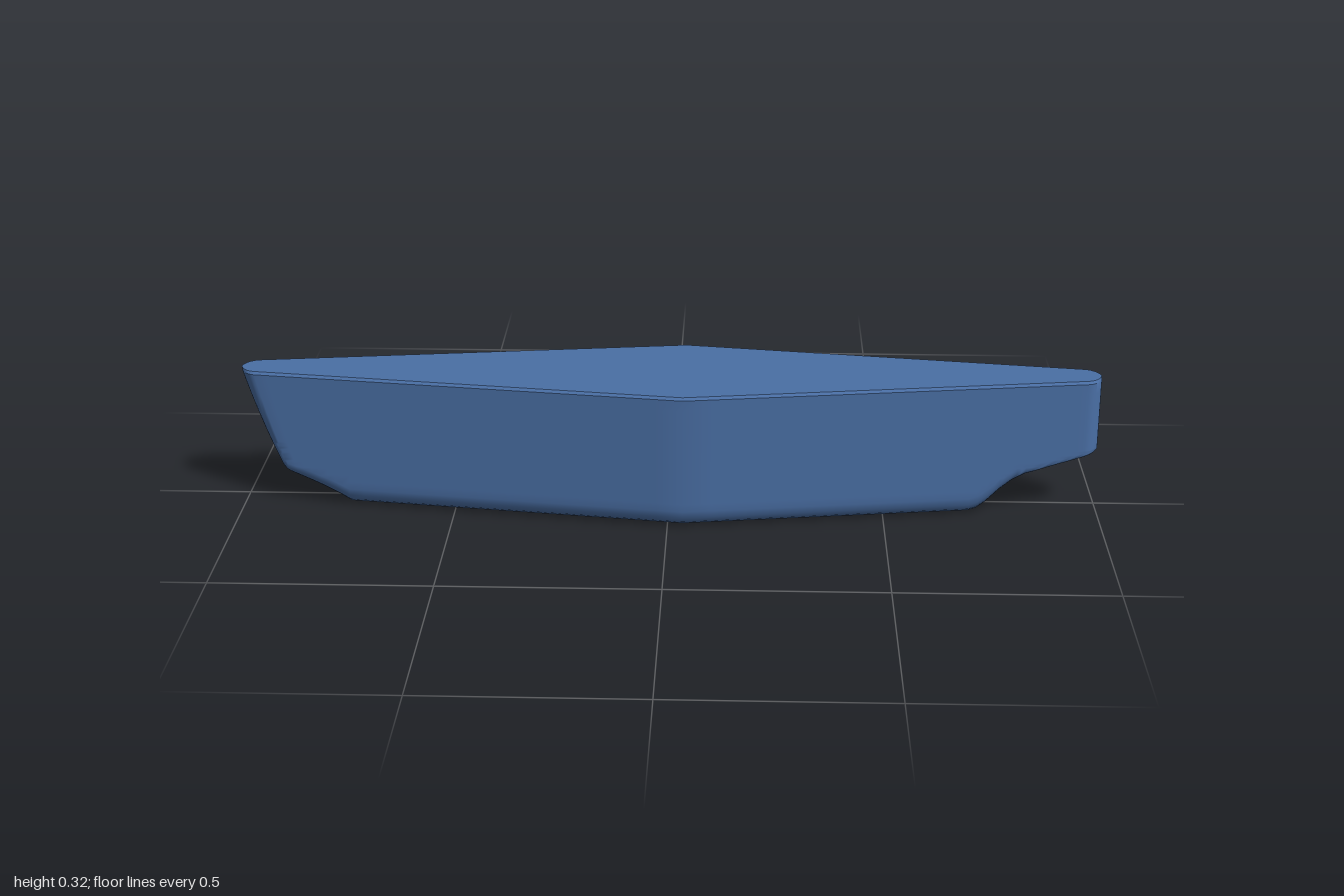
import * as THREE from 'three';
import { toCreasedNormals } from 'three/addons/utils/BufferGeometryUtils.js';

const TOP = 0.322, END = 0.035, MID = 0.035;
const GROOVE = { y: 0.12, r: 0.03, end: -0.48 };

// piecewise linear lookup
function lerpPoints(points, x) {
  if (x <= points[0][0]) return points[0][1];
  for (let i = 1; i < points.length; i++) {
    const [x0, y0] = points[i - 1], [x1, y1] = points[i];
    if (x <= x1) return y0 + (y1 - y0) * (x - x0) / (x1 - x0);
  }
  return points[points.length - 1][1];
}

// keel height along the hull: sloped bow, flat floor, scooped stern
const KEEL = [[-1, 0.075], [-0.75, 0], [0.7, 0], [0.72, 0.006], [0.74, 0.02], [0.77, 0.052],
  [0.8, 0.078], [0.83, 0.095], [0.87, 0.108], [0.92, 0.121], [1, 0.142]];

// diamond plan with rounded tips; s is the station, x the actual position
function halfWidth(s, x) {
  const w = 0.18 - 0.14 * (x > MID ? (x - MID) / (1 - MID) : (MID - x) / (1 + MID));
  const d = Math.min(1 - Math.abs(s), END) / END;
  return w * Math.sqrt(Math.max(0, 1 - (1 - d) ** 2));
}

// raked bow: lower points slide toward the middle
function rakedX(s, y) {
  const k = Math.max(0, (-0.75 - s) / 0.25);
  const u = (TOP - y) / (TOP - 0.075);
  return s + 0.09 * k * u * (0.75 + 0.25 * u);
}

// depth of the round-ended groove in the back face
function grooveDepth(x, y) {
  const dx = Math.max(0, x - GROOVE.end), dy = y - GROOVE.y;
  return Math.sqrt(Math.max(0, GROOVE.r ** 2 - dx * dx - dy * dy));
}

function stations() {
  const list = [];
  const span = (a, b, n) => { for (let i = 0; i < n; i++) list.push(a + (b - a) * i / n); };
  for (let i = 0; i < 8; i++) list.push(-1 + END * (1 - Math.cos(i / 8 * Math.PI / 2)));
  span(-1 + END, -0.75, 8);
  span(-0.75, GROOVE.end, 8);
  span(GROOVE.end, -0.45, 8);
  span(-0.45, MID, 8);
  span(MID, 0.7, 10);
  span(0.7, 0.83, 13);
  span(0.83, 1 - END, 8);
  for (let i = 8; i >= 0; i--) list.push(1 - END * (1 - Math.cos(i / 8 * Math.PI / 2)));
  return list;
}

// heights on the side walls, dense across the groove
function sideLevels() {
  const list = [0.06, 0.075];
  for (let i = 0; i <= 16; i++) list.push(GROOVE.y - GROOVE.r * Math.cos(i / 16 * Math.PI));
  return list.concat([0.18, 0.22, 0.26, 0.29, TOP - 0.006]);
}

// one closed cross-section: up the front, over the deck, down the back
function section(s, levels) {
  const keel = lerpPoints(KEEL, s);
  const wKeel = halfWidth(s, rakedX(s, keel));
  const soft = lerpPoints([[0.74, 0.042], [0.86, 0.012]], s);
  const r = Math.min(soft, wKeel * 0.6);
  const side = [];
  for (let i = 0; i <= 4; i++) {
    const a = i / 4 * Math.PI / 2;
    side.push([keel + r * (1 - Math.cos(a)), r * (1 - Math.sin(a))]);
  }
  for (const y of levels) side.push([Math.max(y, keel + r), 0]);
  side.push([TOP, 0.006]);
  const front = side.map(([y, inset]) => {
    const x = rakedX(s, y);
    return [x, y, Math.max(0, halfWidth(s, x) - inset)];
  });
  const back = front.map(([x, y, z]) => [x, y, Math.min(-z + grooveDepth(x, y), z)]);
  return front.concat(back.reverse());
}

function hullGeometry() {
  const levels = sideLevels();
  const rings = stations().map((s) => section(s, levels));
  const n = rings[0].length, index = [];
  for (let j = 0; j < rings.length - 1; j++) {
    for (let i = 0; i < n; i++) {
      const a = j * n + i, b = j * n + (i + 1) % n;
      index.push(a, a + n, b + n, a, b + n, b);
    }
  }
  const geometry = new THREE.BufferGeometry();
  geometry.setAttribute('position', new THREE.Float32BufferAttribute(rings.flat(2), 3));
  geometry.setIndex(index);
  return toCreasedNormals(geometry, 0.6);
}

export function createModel() {
  const blue = new THREE.MeshStandardMaterial({ color: 0x4a6fa5 });
  blue.name = 'blue';
  const hull = new THREE.Mesh(hullGeometry(), blue);
  hull.name = 'hull';
  const model = new THREE.Group();
  model.name = 'boatHull';
  model.add(hull);
  return model;
}
